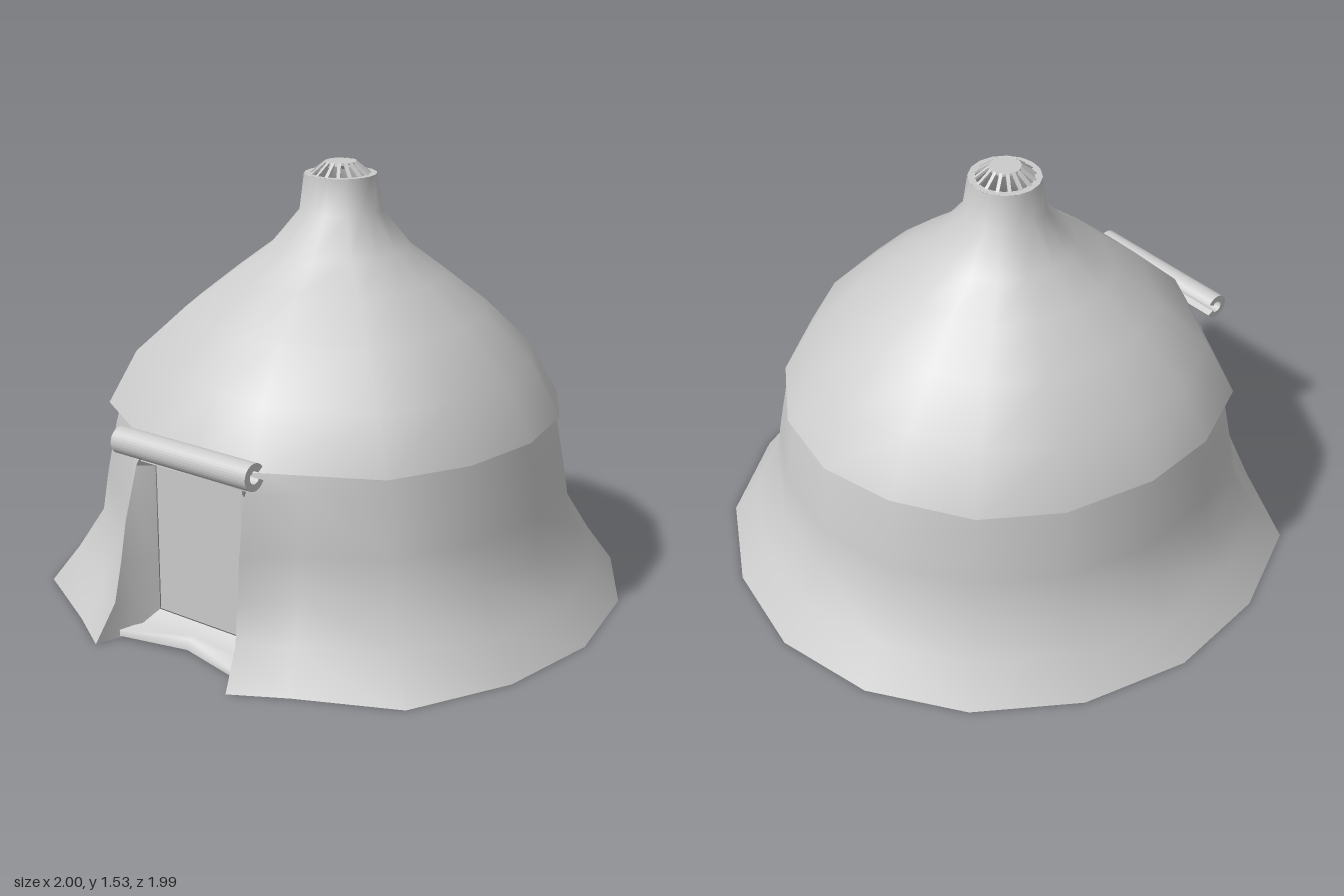
import * as THREE from 'three';

const grey = new THREE.MeshStandardMaterial({ color: 0xcccccc, side: THREE.DoubleSide });

// Skins a grid of points (rows of [x, y, z]) with smooth normals
function skin(rows, closed = false) {
  const n = rows[0].length, index = [];
  for (let r = 0; r < rows.length - 1; r++) {
    for (let i = 0; i < (closed ? n : n - 1); i++) {
      const a = r * n + i, b = r * n + (i + 1) % n;
      index.push(a, a + n, b, b, a + n, b + n);
    }
  }
  const geo = new THREE.BufferGeometry();
  geo.setAttribute('position', new THREE.Float32BufferAttribute(rows.flat(2), 3));
  geo.setIndex(index);
  geo.computeVertexNormals();
  return geo;
}

export function createModel() {
  const group = new THREE.Group();
  const add = (name, geo, parent = group) => {
    const mesh = new THREE.Mesh(geo, grey);
    mesh.name = name;
    parent.add(mesh);
    return mesh;
  };

  // Canvas wall: flared skirt, open at the door, drawn from the left flap round the back
  const foot = [
    [0.47, 0.88], [0.80, 0.72], [0.96, 0.37], [1, -0.01], [0.90, -0.40], [0.68, -0.72], [0.36, -0.92],
    [0, -1],
    [-0.36, -0.93], [-0.67, -0.73], [-0.90, -0.41], [-1, -0.03], [-0.96, 0.35], [-0.80, 0.70], [-0.48, 0.87],
  ];
  // each level: height, scale of the footprint, x and z of the door flap edge
  const levels = [
    [0, 1, 0.29, 0.985], [0.13, 0.905, 0.268, 0.91], [0.27, 0.82, 0.258, 0.885],
    [0.41, 0.80, 0.25, 0.865], [0.6, 0.765, 0.236, 0.82], [0.68, 0.745, 0.23, 0.765],
  ];
  add('wall', skin(levels.map(([y, s, ex, ez]) => [
    [ex, y, ez],
    ...foot.map(([x, z], i) => {
      const k = i === 0 || i === foot.length - 1 ? s + (1 - s) * 0.1 : s;
      return [x * k, y, z * k];
    }),
    [-ex, y, ez],
  ])));

  // Roof: eave outline that rounds off into the smoke neck
  const eave = [
    [0, 0.78], [0.23, 0.78], [0.61, 0.57], [0.74, 0.30], [0.77, 0], [0.70, -0.29], [0.53, -0.54], [0.29, -0.71],
    [0.01, -0.77], [-0.26, -0.71], [-0.52, -0.56], [-0.69, -0.32], [-0.77, 0], [-0.75, 0.28], [-0.63, 0.55],
    [-0.23, 0.78],
  ];
  const ring = (y, r, round, dz) => eave.map(([x, z]) => {
    const len = Math.hypot(x, z);
    const k = r * ((1 - round) / 0.77 + round / len);
    return [x * k, y, z * k + dz];
  });
  add('roof', skin([
    ring(1.485, 0.125, 1, 0.035), ring(1.36, 0.142, 1, 0.033), ring(1.235, 0.243, 0.8, 0.035),
    ring(1.14, 0.365, 0.5, 0.03), ring(1.02, 0.51, 0.2, 0.02), ring(0.86, 0.67, 0, 0.01), ring(0.67, 0.77, 0, 0),
  ], true));
  add('eaveLip', skin([ring(0.67, 0.77, 0, 0), ring(0.675, 0.735, 0, 0)], true));

  // Smoke vent: rim, sloping slats and a small cap
  const vent = new THREE.Group();
  vent.name = 'smokeVent';
  vent.position.set(0, 1.485, 0.035);
  group.add(vent);
  add('ventRim', new THREE.RingGeometry(0.1, 0.125, 16).rotateX(-Math.PI / 2), vent);
  add('ventCap', new THREE.CylinderGeometry(0.055, 0.057, 0.008, 16), vent).position.y = 0.036;
  for (let i = 0; i < 16; i++) {
    const slat = new THREE.BoxGeometry(0.07, 0.008, 0.012);
    slat.rotateZ(-0.67).translate(0.079, 0.016, 0).rotateY((i + 0.5) * Math.PI / 8);
    add('ventSlat', slat, vent);
  }

  // Doorway: reveals running from the wall flaps back to a recessed panel
  const door = new THREE.Group();
  door.name = 'doorway';
  group.add(door);
  const panelZ = 0.78;
  for (const s of [1, -1]) {
    const reveal = levels.slice(0, 5).map(([y, , ex, ez]) => [
      [s * ex, y, ez],
      [s * (ex - 0.03), y, (ez + panelZ) / 2],
      [s * 0.187, Math.max(y, 0.05), panelZ],
    ]);
    add('doorReveal', skin(reveal), door);
  }
  add('doorPanel', new THREE.BoxGeometry(0.375, 0.515, 0.01), door).position.set(0, 0.343, panelZ - 0.01);
  add('doorLintel', skin([
    [[-0.23, 0.66, 0.775], [0.23, 0.66, 0.775]],
    [[-0.235, 0.61, 0.8], [0.235, 0.61, 0.8]],
    [[-0.187, 0.6, panelZ], [0.187, 0.6, panelZ]],
  ]), door);

  // Sill cloth lying below the panel, raised in the middle
  add('doorSill', skin([
    [[-0.19, 0.085, panelZ], [0, 0.085, panelZ], [0.19, 0.085, panelZ]],
    [[-0.23, 0.04, 0.83], [0, 0.055, 0.82], [0.23, 0.04, 0.83]],
    [[-0.262, 0.03, 0.9], [0, 0.05, 0.84], [0.262, 0.03, 0.9]],
    [[-0.262, 0.008, 0.9], [0, 0.015, 0.85], [0.262, 0.008, 0.9]],
  ]), door);

  // Door cover rolled up above the entrance: a C-shaped section
  const section = new THREE.Shape();
  section.absarc(0, 0, 0.046, 0.6, Math.PI * 2 - 0.45, false);
  section.absarc(0, 0, 0.022, Math.PI * 2 - 0.45, 0.6, true);
  const roll = new THREE.ExtrudeGeometry(section, { depth: 0.58, bevelEnabled: false, curveSegments: 14 });
  roll.rotateY(Math.PI / 2).translate(-0.27, 0.693, 0.853);
  add('rolledDoorCover', roll);

  return group;
}
